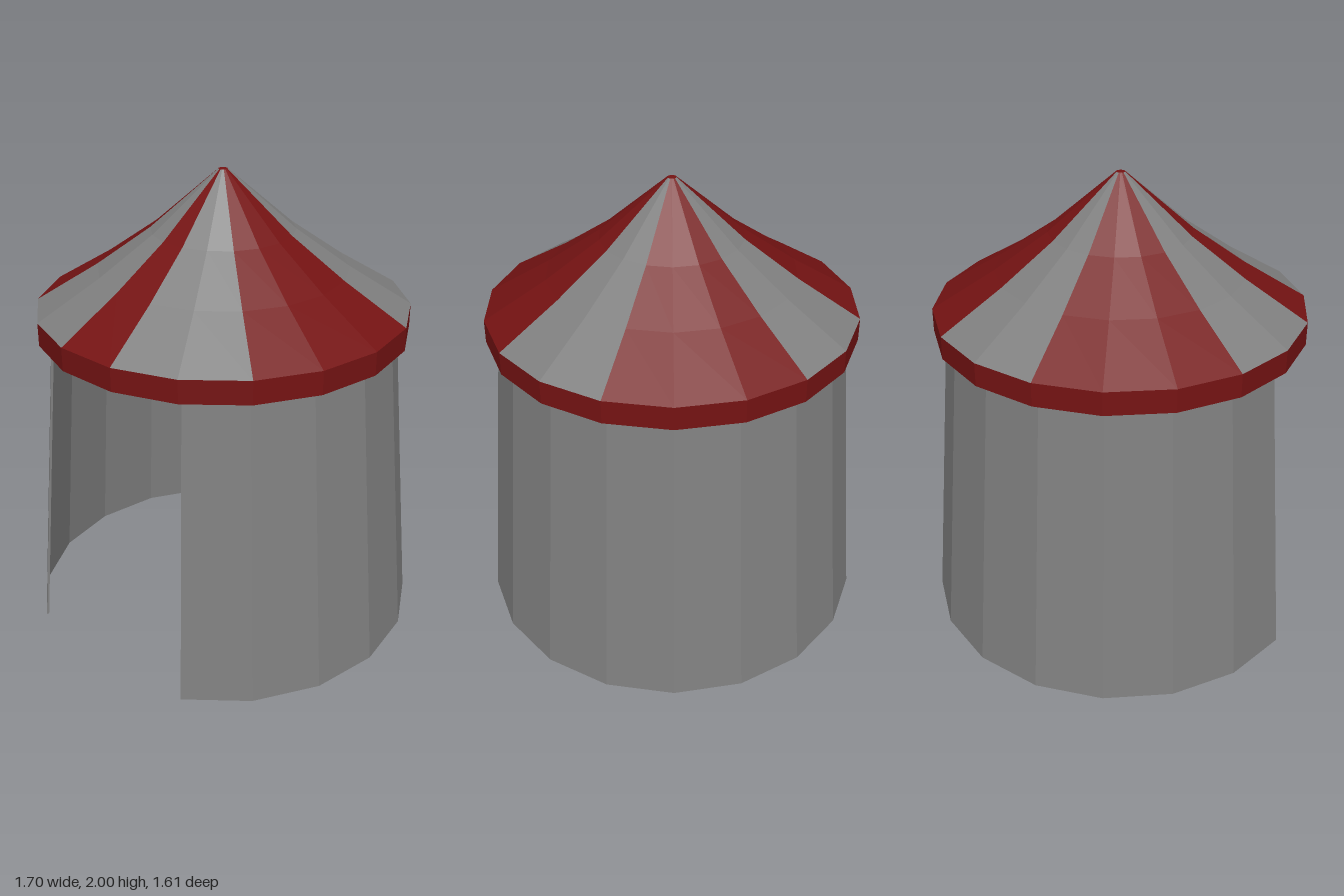
import * as THREE from 'three';

const CENTRE_Z = 0.03;
const STEP = 20; // degrees per facet, 18 facets around

const makeMaterial = (color) =>
  new THREE.MeshStandardMaterial({ color, flatShading: true, side: THREE.DoubleSide });

// Revolve a [radius, height] profile between two angles, measured from the front (+z)
function sweep(name, profile, fromDeg, toDeg, material) {
  const geometry = new THREE.LatheGeometry(
    profile.map(([r, y]) => new THREE.Vector2(r, y)),
    Math.round((toDeg - fromDeg) / STEP),
    THREE.MathUtils.degToRad(fromDeg),
    THREE.MathUtils.degToRad(toDeg - fromDeg)
  );
  const mesh = new THREE.Mesh(geometry, material);
  mesh.name = name;
  return mesh;
}

export function createModel() {
  const grey = makeMaterial(0x808080);
  const red = makeMaterial(0x751313);
  const tent = new THREE.Group();
  tent.name = 'tent';
  const body = new THREE.Group();
  body.name = 'tentBody';
  body.position.z = CENTRE_Z;
  tent.add(body);

  // Thin tapered wall, open at the front
  const t = 0.01;
  const section = [[0.851, 0], [0.729, 1.43], [0.729 - t, 1.43], [0.851 - t, 0]];
  body.add(sweep('wall', [...section, section[0]], 30, 330, grey));

  // Close the wall at both sides of the doorway
  const edgeShape = new THREE.Shape(section.map(([r, y]) => new THREE.Vector2(r, y)));
  for (const [name, deg] of [['leftDoorEdge', 30], ['rightDoorEdge', -30]]) {
    const edge = new THREE.Mesh(new THREE.ShapeGeometry(edgeShape), grey);
    edge.name = name;
    edge.rotation.y = THREE.MathUtils.degToRad(deg - 90);
    body.add(edge);
  }

  // Hanging band around the eaves, with a thin lower rim
  body.add(sweep('eavesBand', [[0.78, 1.43], [0.78, 1.331], [0.788, 1.331], [0.788, 1.43]], -10, 350, red));

  // Striped roof with a slightly hollow slope
  const slope = [[0.788, 1.43], [0.525, 1.593], [0.3, 1.753], [0.019, 2]];
  const stripes = [-10, 10, 50, 110, 150, 210, 250, 310, 350];
  for (let i = 0; i < stripes.length - 1; i++) {
    body.add(sweep('roofStripe' + (i + 1), slope, stripes[i], stripes[i + 1], i % 2 ? grey : red));
  }

  // Small flat cap on the peak
  const cap = new THREE.Mesh(new THREE.CircleGeometry(0.019, 18), red);
  cap.name = 'peakCap';
  cap.rotation.x = -Math.PI / 2;
  cap.position.y = 2;
  body.add(cap);

  return tent;
}
